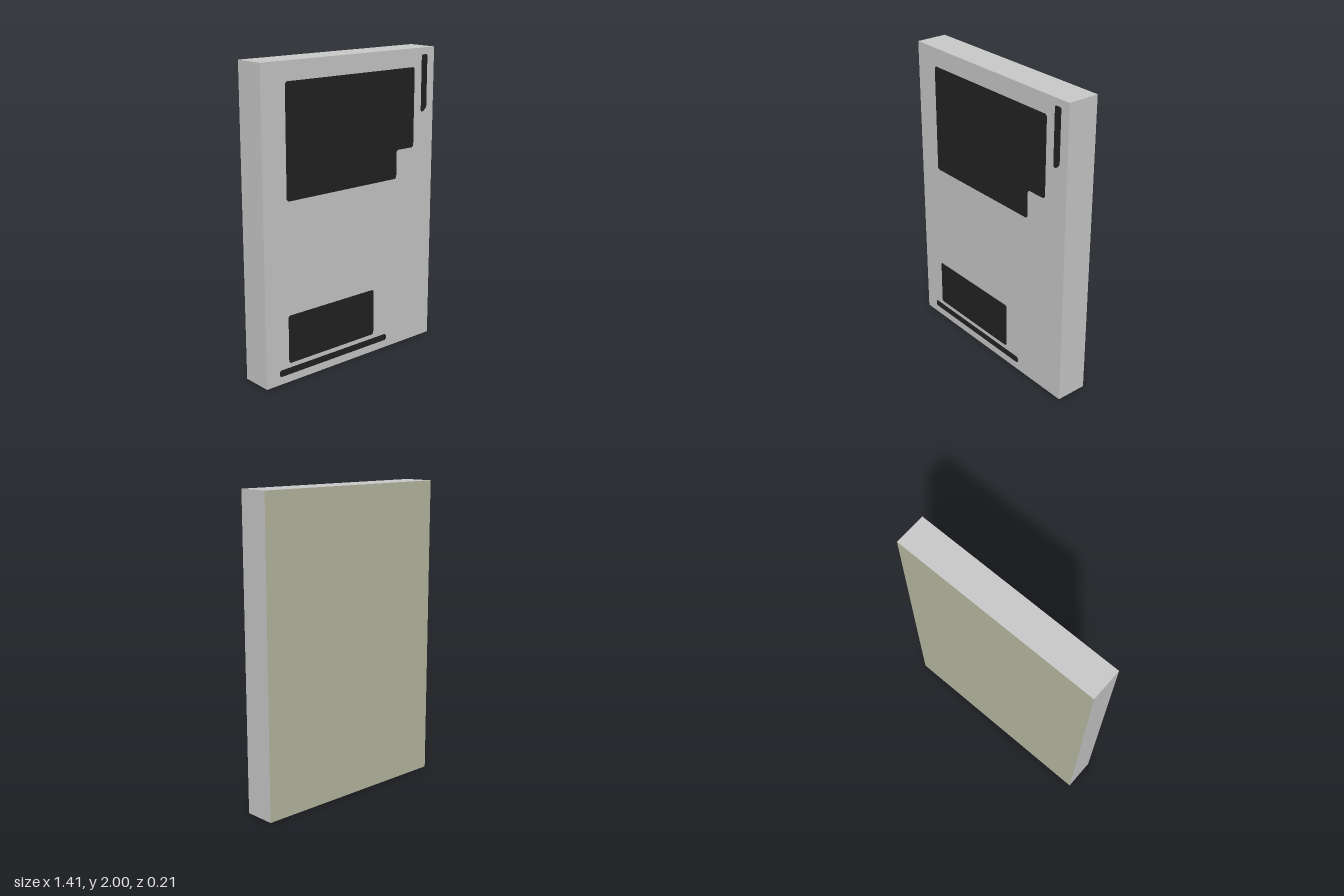
import * as THREE from 'three';

const W = 1.41, H = 2, D = 0.21;

// Flat outline with slightly clipped corners; c is the clip size
function clipped(points, c) {
  const shape = new THREE.Shape();
  const v = points.map(([x, y]) => new THREE.Vector2(x, y));
  v.forEach((p, i) => {
    const prev = v[(i + v.length - 1) % v.length], next = v[(i + 1) % v.length];
    const a = p.clone().add(prev.clone().sub(p).setLength(c));
    const b = p.clone().add(next.clone().sub(p).setLength(c));
    if (i === 0) shape.moveTo(a.x, a.y); else shape.lineTo(a.x, a.y);
    shape.lineTo(b.x, b.y);
  });
  shape.closePath();
  return shape;
}

export function createModel() {
  const grey = new THREE.MeshStandardMaterial({ color: 0xc9c9c9 });
  grey.name = 'light grey';
  const beige = new THREE.MeshStandardMaterial({ color: 0xb8baa2 });
  beige.name = 'beige back';
  const black = new THREE.MeshStandardMaterial({ color: 0x222222 });
  black.name = 'black';

  const group = new THREE.Group();
  group.name = 'panel';

  // Slab: grey on all sides except the beige back
  const slab = new THREE.Mesh(new THREE.BoxGeometry(W, H, D), [grey, grey, grey, grey, grey, beige]);
  slab.name = 'slab';
  slab.position.y = H / 2;
  group.add(slab);

  // Dark painted areas on the front: outline and corner clip
  const areas = {
    mainWindow: [[[-0.53, 1.165], [0.375, 1.165], [0.375, 1.355], [0.527, 1.355], [0.527, 1.88], [-0.53, 1.88]], 0.012],
    lowerWindow: [[[-0.53, 0.125], [0.182, 0.125], [0.182, 0.44], [-0.53, 0.44]], 0.01],
    bottomStrip: [[[-0.605, 0.052], [0.3, 0.052], [0.3, 0.095], [-0.605, 0.095]], 0.01],
    sideStrip: [[[0.592, 1.583], [0.615, 1.583], [0.642, 1.61], [0.642, 1.955], [0.592, 1.955]], 0.007],
  };
  for (const [name, [points, clip]] of Object.entries(areas)) {
    const geometry = new THREE.ExtrudeGeometry(clipped(points, clip), { depth: 0.002, bevelEnabled: false });
    const plate = new THREE.Mesh(geometry, black);
    plate.name = name;
    plate.position.z = D / 2;
    group.add(plate);
  }
  return group;
}
